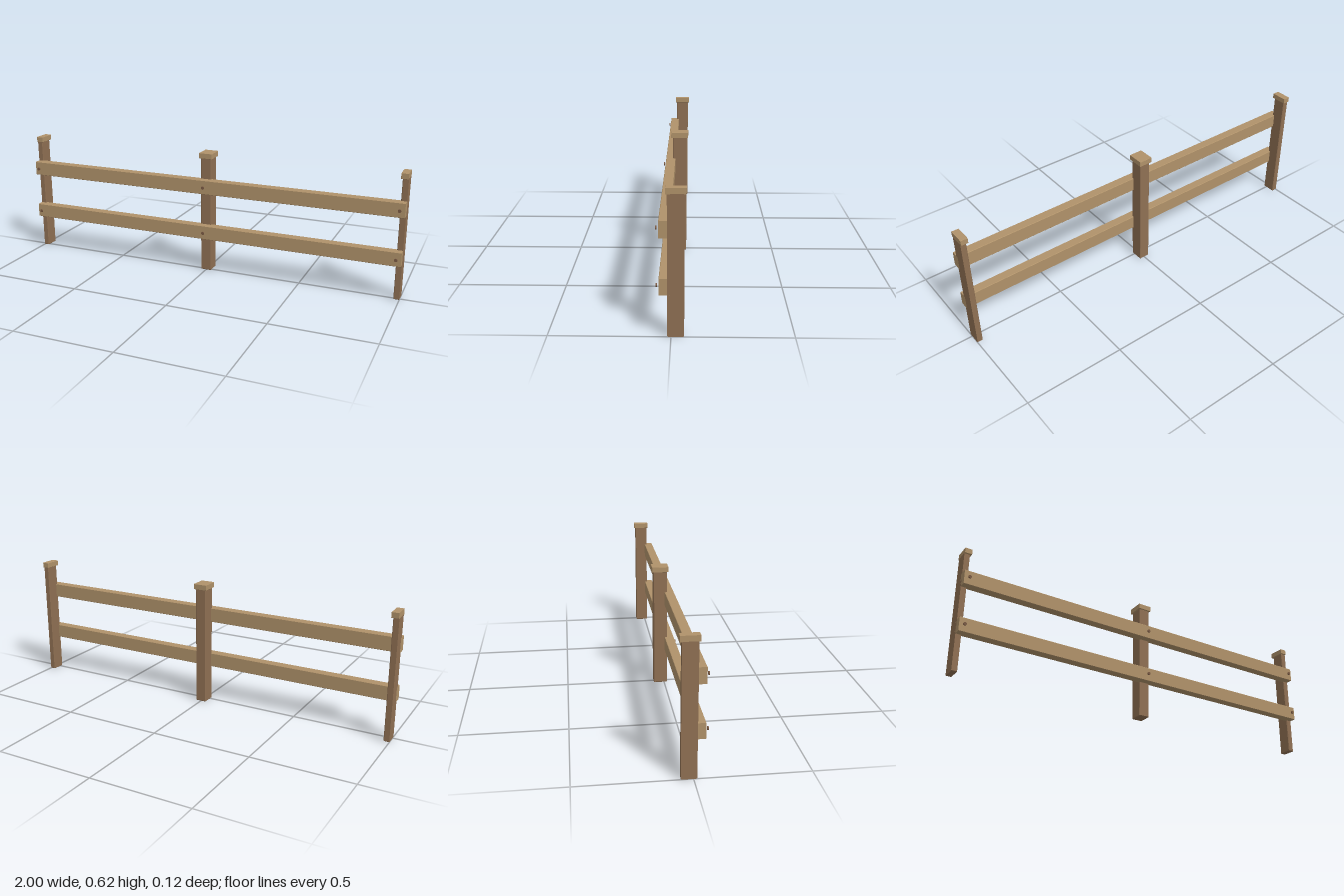
import * as THREE from 'three';
import { ConvexGeometry } from 'three/addons/geometries/ConvexGeometry.js';

const END = 1; // the fence section is cut flat at x = ±END

const postWood = new THREE.MeshStandardMaterial({ color: 0x8f7053 });
postWood.name = 'post wood';
const railWood = new THREE.MeshStandardMaterial({ color: 0xb0926a });
railWood.name = 'rail wood';
const boltMetal = new THREE.MeshStandardMaterial({ color: 0x7a5a44 });
boltMetal.name = 'bolt brown';

// Box with chamfered edges, trimmed where it passes the section ends
function chamferedBox(x, [y0, y1], [z0, z1], width, c) {
  const mid = new THREE.Vector3(x, (y0 + y1) / 2, (z0 + z1) / 2);
  const half = new THREE.Vector3(width / 2, (y1 - y0) / 2, (z1 - z0) / 2);
  const points = [];
  for (const sx of [-1, 1]) for (const sy of [-1, 1]) for (const sz of [-1, 1]) {
    for (let axis = 0; axis < 3; axis++) {
      // one point per face meeting at this corner
      const p = half.clone().subScalar(c);
      p.setComponent(axis, half.getComponent(axis));
      p.multiply(new THREE.Vector3(sx, sy, sz)).add(mid);
      p.x = THREE.MathUtils.clamp(p.x, -END, END);
      points.push(p);
    }
  }
  return new ConvexGeometry(points);
}

export function createModel() {
  const group = new THREE.Group();
  group.name = 'fence';
  const add = (name, geometry, material) => {
    const mesh = new THREE.Mesh(geometry, material);
    mesh.name = name;
    group.add(mesh);
    return mesh;
  };

  // Posts with caps: a whole one in the middle, half ones at the ends
  for (const [side, x] of [['right', -1], ['middle', 0], ['left', 1]]) {
    add(`${side}Post`, chamferedBox(x, [0, 0.6], [-0.053, 0.015], 0.056, 0.003), postWood);
    add(`${side}Cap`, chamferedBox(x, [0.598, 0.625], [-0.061, 0.022], 0.07, 0.001), railWood);
  }

  // Rails across the front, each with three bolt heads
  for (const [level, y0, y1] of [['lower', 0.18, 0.251], ['upper', 0.42, 0.492]]) {
    add(`${level}Rail`, chamferedBox(0, [y0, y1], [0.003, 0.049], 2.02, 0.002), railWood);
    for (const x of [-0.976, 0, 0.976]) {
      const bolt = add(`${level}Bolt`, new THREE.CylinderGeometry(0.008, 0.008, 0.006, 10), boltMetal);
      bolt.rotation.x = Math.PI / 2;
      bolt.position.set(x, (y0 + y1) / 2, 0.059);
    }
  }
  return group;
}
